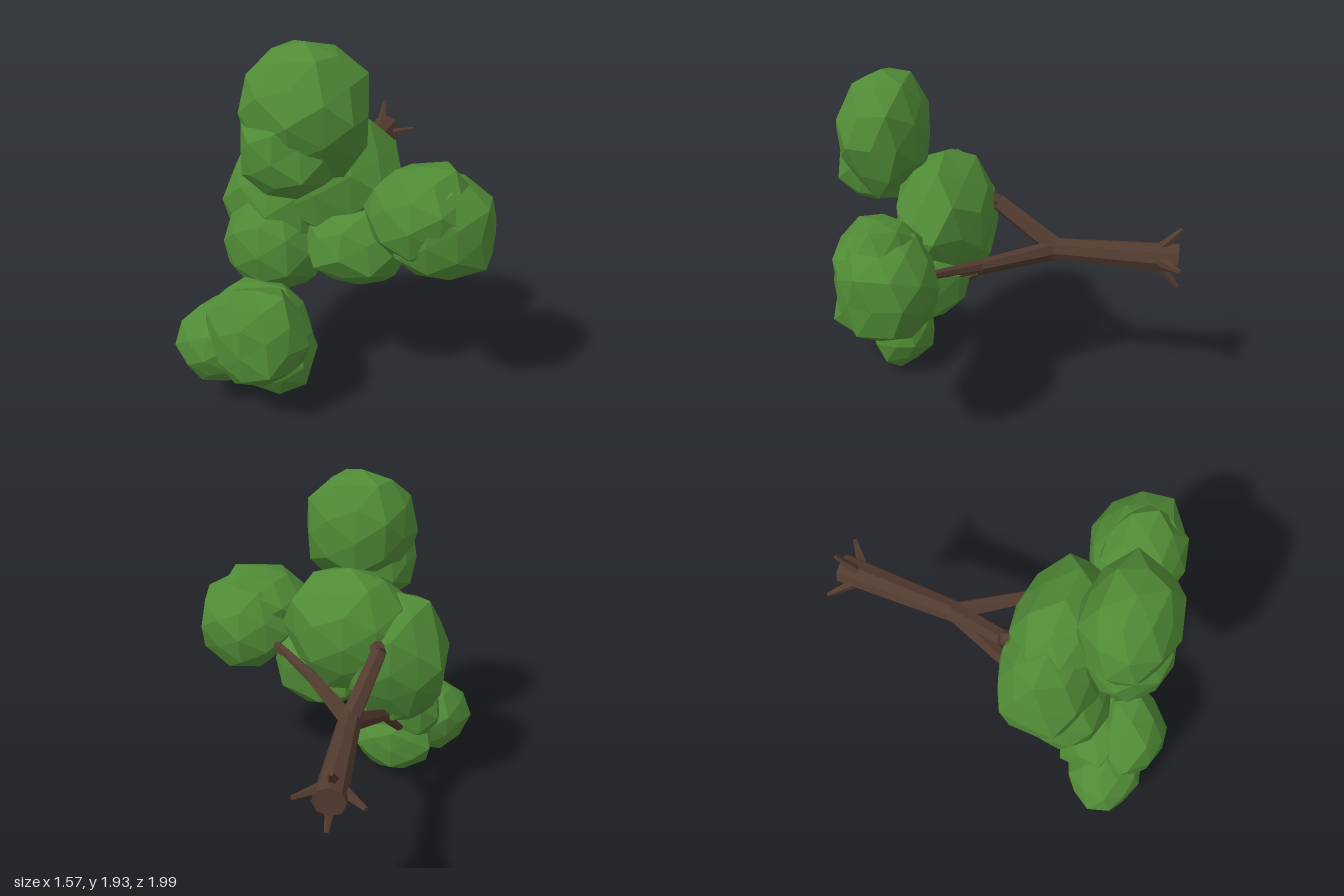
import * as THREE from 'three';

const leaf = new THREE.MeshStandardMaterial({ color: 0x508b36, flatShading: true });
leaf.name = 'leaf green';
const bark = new THREE.MeshStandardMaterial({ color: 0x523b2f, flatShading: true });
bark.name = 'bark brown';

// Repeatable value in 0..1 from a direction, so shared corners move together
function hash(x, y, z, seed) {
  const s = Math.sin(Math.round(x * 50) * 12.99 + Math.round(y * 50) * 78.23 + Math.round(z * 50) * 37.72 + seed * 9.17) * 4375.85;
  return s - Math.floor(s);
}

// Faceted, slightly lumpy foliage ball
function foliage(name, [x, y, z], [rx, ry, rz], seed) {
  const geo = new THREE.IcosahedronGeometry(1, 1);
  const pos = geo.attributes.position;
  const v = new THREE.Vector3();
  for (let i = 0; i < pos.count; i++) {
    v.fromBufferAttribute(pos, i);
    v.multiplyScalar(0.9 + 0.18 * hash(v.x, v.y, v.z, seed));
    pos.setXYZ(i, v.x * rx, v.y * ry, v.z * rz);
  }
  geo.computeVertexNormals();
  const mesh = new THREE.Mesh(geo, leaf);
  mesh.name = name;
  mesh.position.set(x, y, z);
  return mesh;
}

// Tapered straight length of wood between two points
function limb(name, a, b, ra, rb, sides = 6) {
  const from = new THREE.Vector3(...a), to = new THREE.Vector3(...b);
  const dir = to.clone().sub(from);
  const mesh = new THREE.Mesh(new THREE.CylinderGeometry(rb, ra, dir.length(), sides), bark);
  mesh.name = name;
  mesh.position.copy(from).addScaledVector(dir, 0.5);
  mesh.quaternion.setFromUnitVectors(new THREE.Vector3(0, 1, 0), dir.normalize());
  return mesh;
}

// Chain of limbs along a path with a radius per point
function branch(name, points, radii) {
  const group = new THREE.Group();
  group.name = name;
  for (let i = 0; i < points.length - 1; i++) {
    group.add(limb(name + 'Segment', points[i], points[i + 1], radii[i], radii[i + 1]));
  }
  return group;
}

export function createModel() {
  const tree = new THREE.Group();
  tree.name = 'tree';

  // Trunk lying along z, roots at the back end
  tree.add(limb('trunk', [-0.205, 0.905, -0.98], [-0.2, 0.915, -0.29], 0.083, 0.06, 8));
  for (let i = 0; i < 4; i++) {
    const a = i * Math.PI / 2 + 0.06, c = Math.cos(a), s = Math.sin(a);
    tree.add(limb('root',
      [-0.205 + c * 0.06, 0.905 + s * 0.06, -0.89],
      [-0.205 + c * 0.172, 0.905 + s * 0.172, -0.99], 0.03, 0.012, 5));
  }

  // Three main branches and their forked twigs
  tree.add(branch('upperBranch',
    [[-0.2, 0.92, -0.32], [-0.3, 1.13, 0.02], [-0.2, 1.28, 0.35], [-0.15, 1.5, 0.55]], [0.055, 0.045, 0.025, 0.015]));
  tree.add(branch('leftBranch',
    [[-0.2, 0.915, -0.32], [0.06, 0.92, 0.06], [0.3, 0.98, 0.28], [0.48, 1.05, 0.45]], [0.05, 0.035, 0.022, 0.015]));
  tree.add(branch('leftTwig',
    [[0.06, 0.91, 0.06], [0.28, 0.92, 0.3], [0.45, 0.98, 0.45]], [0.025, 0.018, 0.012]));
  tree.add(branch('lowerBranch',
    [[-0.2, 0.91, -0.32], [-0.33, 0.67, 0.14], [-0.39, 0.4, 0.43], [-0.42, 0.33, 0.6]], [0.055, 0.035, 0.022, 0.012]));
  tree.add(branch('lowerTwig',
    [[-0.33, 0.67, 0.14], [-0.34, 0.46, 0.42], [-0.35, 0.4, 0.6]], [0.025, 0.018, 0.012]));

  // Foliage clusters: centre and radii of each ball
  const clusters = {
    topFoliage: [
      [[-0.12, 1.59, 0.59], [0.32, 0.34, 0.25]],
      [[-0.19, 1.41, 0.645], [0.25, 0.25, 0.22]],
    ],
    leftFoliage: [
      [[0.5, 1.03, 0.46], [0.29, 0.29, 0.27]],
      [[0.42, 1.1, 0.51], [0.28, 0.27, 0.23]],
    ],
    centreFoliage: [
      [[-0.11, 1.13, 0.27], [0.35, 0.35, 0.28]],
      [[-0.36, 0.99, 0.28], [0.32, 0.37, 0.28]],
      [[-0.38, 0.8, 0.38], [0.28, 0.3, 0.28]],
      [[0.04, 0.84, 0.37], [0.28, 0.25, 0.26]],
    ],
    lowerFoliage: [
      [[-0.56, 0.34, 0.73], [0.23, 0.23, 0.21]],
      [[-0.34, 0.43, 0.78], [0.27, 0.28, 0.23]],
      [[-0.35, 0.23, 0.59], [0.25, 0.23, 0.2]],
      [[-0.38, 0.42, 0.64], [0.27, 0.27, 0.21]],
    ],
  };
  let seed = 1;
  for (const [name, balls] of Object.entries(clusters)) {
    const group = new THREE.Group();
    group.name = name;
    for (const [centre, radii] of balls) group.add(foliage(name + 'Ball', centre, radii, seed++));
    tree.add(group);
  }
  return tree;
}
